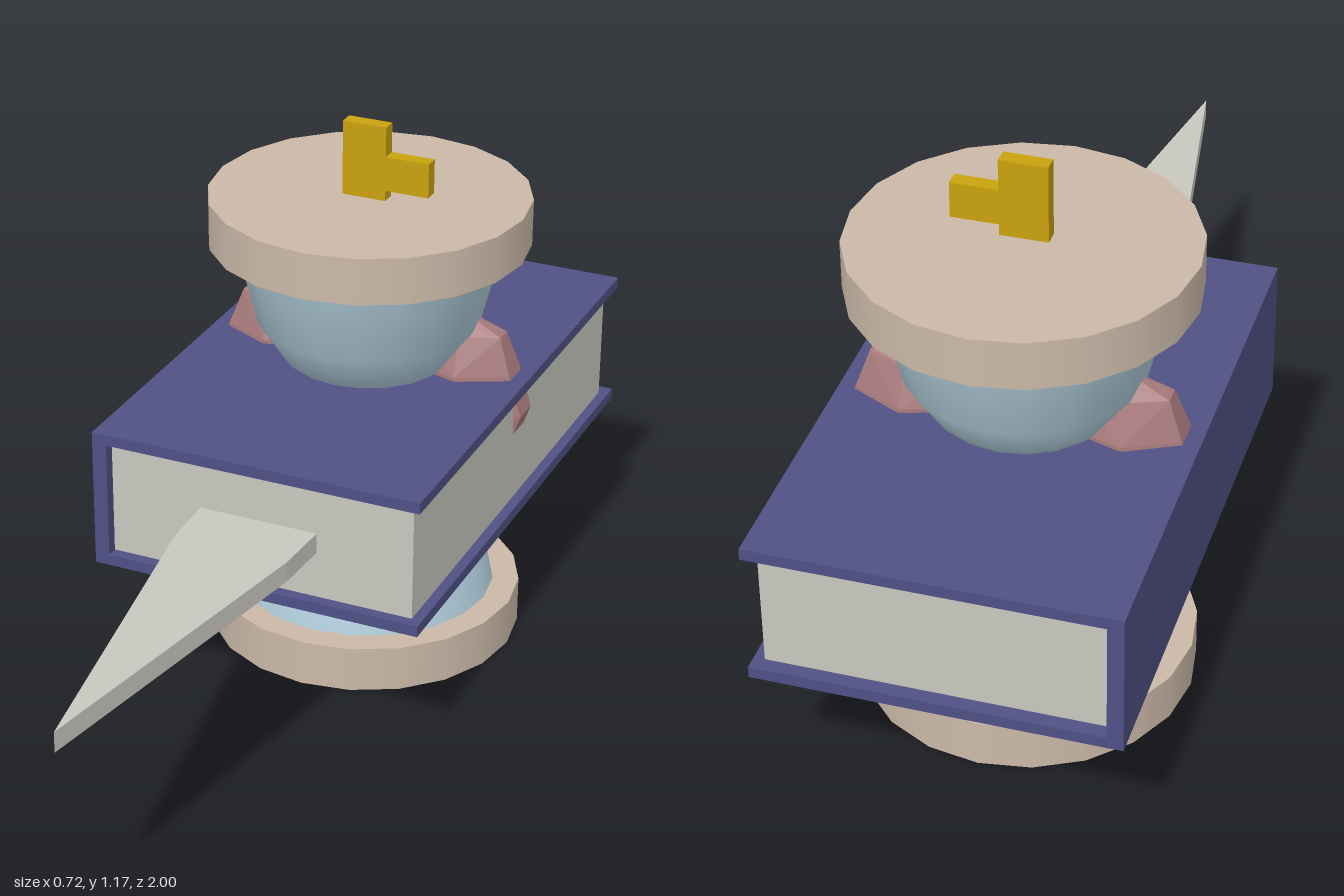
import * as THREE from 'three';
import { toCreasedNormals } from 'three/addons/utils/BufferGeometryUtils.js';
import { ConvexGeometry } from 'three/addons/geometries/ConvexGeometry.js';

const paint = (color, extra = {}) => new THREE.MeshStandardMaterial({ color, ...extra });
const TAN = paint(0xcbb9a8), GLASS = paint(0xafccda), NAVY = paint(0x505085);
const PAPER = paint(0xc9c8bf), GOLD = paint(0xc9a20e), ROSE = paint(0xa87a7c, { flatShading: true });

const MID_Y = 0.49;    // middle of the book
const AXIS_Z = -0.415; // axis of the hourglass

export function createModel() {
  const model = new THREE.Group();

  const add = (name, geometry, material, x = 0, y = 0, z = 0) => {
    const mesh = new THREE.Mesh(geometry, material);
    mesh.name = name;
    mesh.position.set(x, y, z);
    model.add(mesh);
    return mesh;
  };
  // box given by its minimum and maximum corners
  const box = (name, material, [x0, y0, z0], [x1, y1, z1]) =>
    add(name, new THREE.BoxGeometry(x1 - x0, y1 - y0, z1 - z0), material,
      (x0 + x1) / 2, (y0 + y1) / 2, (z0 + z1) / 2);

  // Book: two covers, spine on the model's right, recessed page block
  box('bottomCover', NAVY, [-0.362, 0.338, -1], [0.362, 0.362, 0.165]);
  box('topCover', NAVY, [-0.362, 0.618, -1], [0.362, 0.642, 0.165]);
  box('spine', NAVY, [-0.362, 0.362, -1], [-0.33, 0.618, 0.165]);
  box('pages', PAPER, [-0.33, 0.362, -0.97], [0.34, 0.618, 0.14]);

  // Hourglass end plates
  for (const [name, y] of [['bottomPlate', 0.051], ['topPlate', 0.961]]) {
    add(name, new THREE.CylinderGeometry(0.342, 0.342, 0.102, 20), TAN, 0, y, AXIS_Z);
  }

  // Glass with its neck inside the book
  const half = [[0.285, 0.1], [0.24, 0.28], [0.188, 0.36], [0.09, 0.45]];
  const profile = [...half, [0.05, 0.506], ...half.map(([r, y]) => [r, 1.012 - y]).reverse()];
  const glass = new THREE.LatheGeometry(profile.map(([r, y]) => new THREE.Vector2(r, y)), 20);
  add('glass', toCreasedNormals(glass, 0.7), GLASS, 0, 0, AXIS_Z);

  // Faceted lumps pushing through the book: height, inner x, outer x, half depth
  const rings = [
    [0.315, 0.12, 0.22, 0.034], [0.34, 0.1, 0.24, 0.065], [0.43, 0.08, 0.31, 0.083],
    [0.56, 0.08, 0.354, 0.083], [0.65, 0.09, 0.326, 0.085], [0.73, 0.12, 0.298, 0.05],
    [0.756, 0.16, 0.24, 0.025],
  ];
  for (const [name, side] of [['leftLump', 1], ['rightLump', -1]]) {
    const points = [];
    for (const [y, inner, outer, depth] of rings) {
      const middle = inner + (outer - inner) * 0.55;
      for (const s of [-1, 1]) {
        points.push(new THREE.Vector3(side * outer, y, s * depth * 0.38));
        points.push(new THREE.Vector3(side * middle, y, s * depth));
        points.push(new THREE.Vector3(side * inner, y, s * depth * 0.5));
      }
    }
    add(name, new ConvexGeometry(points), ROSE, 0, 0, -0.442);
  }

  // Pointed bookmark blade, drawn flat and laid forward
  const bladeShape = new THREE.Shape([[-0.132, 0.1], [0.132, 0.1], [0.124, 0.27], [0, 1], [-0.124, 0.27]]
    .map(([x, y]) => new THREE.Vector2(x, y)));
  const blade = new THREE.ExtrudeGeometry(bladeShape, { depth: 0.044, bevelEnabled: false });
  blade.rotateX(Math.PI / 2);
  add('blade', blade, PAPER, 0, MID_Y + 0.018, 0);

  // Winding key: stem with one tooth
  const keyShape = new THREE.Shape([[-0.05, 1.0], [0.047, 1.0], [0.047, 1.035], [0.143, 1.035],
    [0.143, 1.11], [0.047, 1.11], [0.047, 1.175], [-0.05, 1.175]]
    .map(([x, y]) => new THREE.Vector2(x, y)));
  add('key', new THREE.ExtrudeGeometry(keyShape, { depth: 0.032, bevelEnabled: false }), GOLD, 0, 0, -0.417);

  return model;
}
